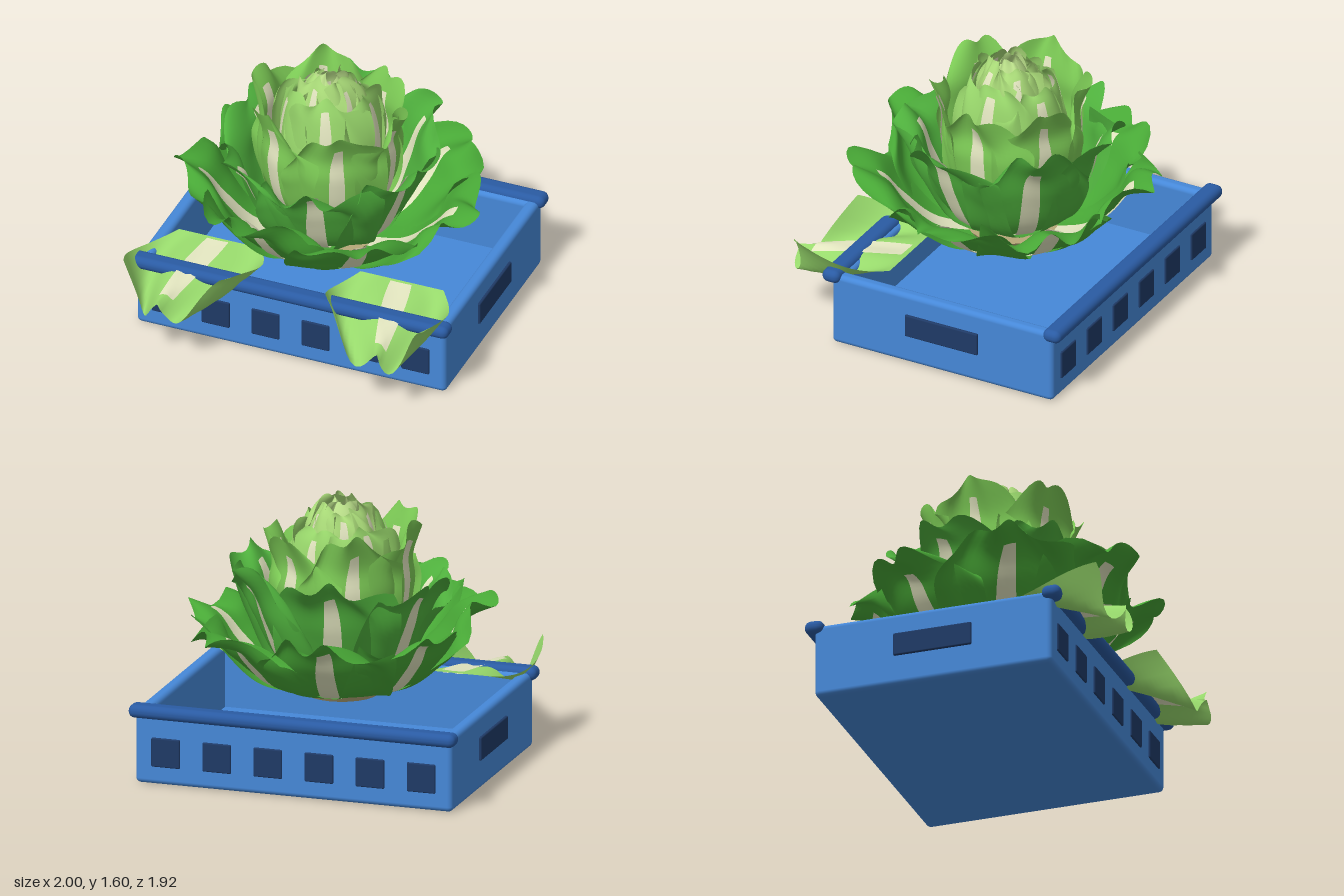
import * as THREE from 'three';
import { RoundedBoxGeometry } from 'three/addons/geometries/RoundedBoxGeometry.js';

const paint = (color) => new THREE.MeshStandardMaterial({ color, side: THREE.DoubleSide });
const blue = paint(0x4688d8), railBlue = paint(0x2a5ba3), navy = paint(0x1f3a66);
const ribColor = paint(0xe2e5bf);

function add(group, name, geometry, material, x = 0, y = 0, z = 0) {
  const mesh = new THREE.Mesh(geometry, material);
  mesh.name = name;
  mesh.position.set(x, y, z);
  group.add(mesh);
  return mesh;
}

// Grid surface through point(u, v), with u in 0..1 and v in -1..1
function surface(point, nu, nv) {
  const pos = [], index = [];
  for (let i = 0; i <= nu; i++) {
    for (let j = 0; j <= nv; j++) {
      const p = point(i / nu, (j / nv) * 2 - 1);
      pos.push(p.x, p.y, p.z);
      if (i < nu && j < nv) {
        const a = i * (nv + 1) + j, b = a + nv + 1;
        index.push(a, a + 1, b, b, a + 1, b + 1);
      }
    }
  }
  const g = new THREE.BufferGeometry();
  g.setAttribute('position', new THREE.Float32BufferAttribute(pos, 3));
  g.setIndex(index);
  g.computeVertexNormals();
  return g;
}

// Leaf blade with a tapering pale rib laid on both of its faces
function leaf(name, point, material, ribEnd, ribWidth) {
  const group = new THREE.Group();
  group.name = name;
  add(group, 'blade', surface(point, 24, 24), material);
  for (const side of [-1, 1]) {
    const rib = (u, v) => {
      const s = 0.04 + u * (ribEnd - 0.04), t = v * ribWidth * (1 - 0.5 * u);
      const p = point(s, t), e = 0.01;
      const du = point(s + e, t).sub(p), dv = point(s, t + e).sub(p);
      return p.add(du.cross(dv).normalize().multiplyScalar(side * 0.008));
    };
    add(group, 'rib', surface(rib, 18, 4), ribColor);
  }
  return group;
}

// Upright head leaf: follows a (radius, height) profile and wraps around the axis
function headLeafPoint(curve, width, ruffle, seed) {
  const stretch = 0.07 * Math.sin(seed * 3), rise = ruffle * 0.6 * Math.sin(seed * 5);
  return (u, v) => {
    const s = Math.min(1, u * (1 - 0.27 * v * v));
    const c = curve.getPoint(s);
    const r = c.x * (1 + stretch * u), R = 1.35 * Math.max(r, 0.1);
    const w = width * (0.4 + 0.75 * Math.sin(Math.PI * Math.min(1, 0.08 + s * 0.72)) - 0.3 * s ** 6);
    const phi = (v * w) / R;
    const edge = s * s * (0.2 + 0.8 * v * v) * ruffle;
    const wave = edge * Math.sin(v * 6.5 + seed + s * 4);
    const lift = edge * Math.cos(v * 7.5 + seed * 1.7 + s * 5);
    return new THREE.Vector3(
      R * Math.sin(phi) + edge * 0.4 * Math.sin(s * 11 + seed),
      c.y + lift + rise * s * s,
      r - R * (1 - Math.cos(phi)) * 0.9 + wave
    );
  };
}

function crate() {
  const group = new THREE.Group();
  group.name = 'crate';
  const box = (name, w, h, d, r, mat, x, y, z) =>
    add(group, name, new RoundedBoxGeometry(w, h, d, 3, r), mat, x, y, z);
  box('floor', 1.94, 0.08, 1.46, 0.03, blue, 0, 0.04, -0.13);
  for (const s of [-1, 1]) {
    const z = -0.13 + s * 0.73;
    box('longWall', 1.94, 0.45, 0.08, 0.03, blue, 0, 0.225, z - s * 0.04);
    box('sideWall', 0.08, 0.45, 1.46, 0.03, blue, s * 0.93, 0.225, -0.13);
    box('rail', 2, 0.08, 0.115, 0.038, railBlue, 0, 0.44, z);
    box('sideHandle', 0.03, 0.14, 0.48, 0.008, navy, s * 0.97, 0.25, -0.13);
    for (let i = 0; i < 6; i++) {
      box('ventPanel', 0.175, 0.175, 0.03, 0.008, navy, -0.783 + i * 0.313, 0.195, z - s * 0.005);
    }
  }
  return group;
}

function lettuceHead() {
  const group = new THREE.Group();
  group.name = 'lettuceHead';
  // Tiers from the outer leaves to the heart
  const tiers = [
    { n: 7, a: -100, w: 0.37, ruffle: 0.13, color: 0x48a836, rib: 0.8,
      p: [[0.1, 0.45], [0.42, 0.51], [0.61, 0.69], [0.72, 0.85], [0.88, 0.92]] },
    { n: 6, a: 78, w: 0.35, ruffle: 0.12, color: 0x4fb03d, rib: 0.82,
      p: [[0.1, 0.47], [0.36, 0.62], [0.49, 0.87], [0.56, 1.05], [0.69, 1.18]] },
    { n: 6, a: 2, w: 0.29, ruffle: 0.09, color: 0x7cca55, rib: 0.85,
      p: [[0.1, 0.5], [0.33, 0.8], [0.39, 1.07], [0.38, 1.25], [0.44, 1.44]] },
    { n: 5, a: -70, w: 0.26, ruffle: 0.08, color: 0x97d56a, rib: 0.85,
      p: [[0.08, 0.5], [0.27, 0.9], [0.3, 1.15], [0.27, 1.36], [0.22, 1.47]] },
    { n: 5, a: -40, w: 0.18, ruffle: 0.07, color: 0xa8d977, rib: 0.8,
      p: [[0.05, 0.7], [0.17, 1.15], [0.18, 1.35], [0.14, 1.48], [0.09, 1.55]] },
    { n: 3, a: 0, w: 0.12, ruffle: 0.05, color: 0xbbe08a, rib: 0.7,
      p: [[0.03, 1], [0.1, 1.3], [0.1, 1.45], [0.04, 1.56]] },
  ];
  tiers.forEach((t, k) => {
    const curve = new THREE.SplineCurve(t.p.map(([r, y]) => new THREE.Vector2(r, y)));
    const mat = paint(t.color);
    for (let i = 0; i < t.n; i++) {
      const point = headLeafPoint(curve, t.w, t.ruffle, i * 2.3 + k * 1.1);
      const one = leaf('headLeaf', point, mat, t.rib, 0.19);
      const angle = THREE.MathUtils.degToRad(t.a + (i * 360) / t.n);
      one.rotation.y = Math.PI / 2 - angle;
      group.add(one);
    }
  });
  // Cut stem under the head
  add(group, 'stem', new THREE.CylinderGeometry(0.27, 0.22, 0.07, 24), paint(0xb5a878), 0, 0.455, 0);
  group.position.set(-0.02, 0, -0.05);
  return group;
}

// Loose leaf lying across the front rail, its rim rippled
function looseLeaf(side) {
  const point = (u, v) => {
    const s = u * (1 - 0.2 * v * v);
    const w = 0.19 + 0.19 * Math.sin(Math.PI * Math.min(1, 0.12 + s * 0.82));
    const ripple = s * (0.3 + 0.7 * v * v);
    const x = 0.57 + 0.07 * s + v * w + 0.05 * s * (1 - v * v);
    const y = 0.49 - 0.13 * s + 0.07 * s * v * v
      + 0.2 * ripple * Math.cos(v * 6.3 + side * 0.3 + (s - 0.75) * 2.5 * Math.sign(v));
    return new THREE.Vector3(side * x, y, 0.29 + 0.67 * s + 0.05 * ripple * Math.sin(v * 8));
  };
  return leaf('looseLeaf', point, paint(0x98da6c), 0.86, 0.24);
}

export function createModel() {
  const model = new THREE.Group();
  model.name = 'lettuceCrate';
  model.add(crate(), lettuceHead(), looseLeaf(-1), looseLeaf(1));
  return model;
}
